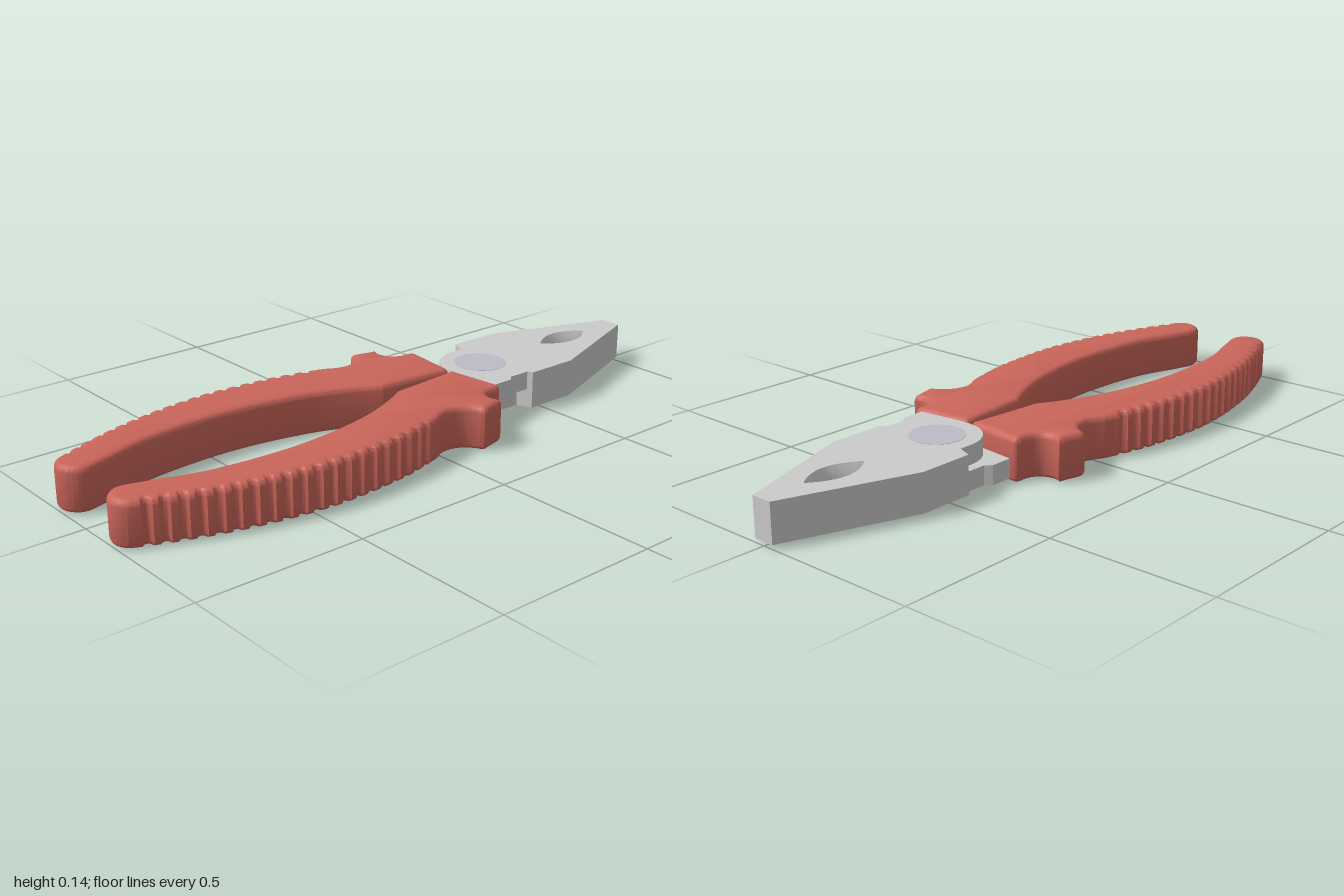
import * as THREE from 'three';
import { toCreasedNormals } from 'three/addons/utils/BufferGeometryUtils.js';

// Plan coordinates (x, z) are drawn as shapes in (x, -z) and raised along y.
const P = (x, z) => new THREE.Vector2(x, -z);

const steel = new THREE.MeshStandardMaterial({ color: 0xcccccc });
const wallSteel = new THREE.MeshStandardMaterial({ color: 0xcccccc, side: THREE.DoubleSide });
const rivetSteel = new THREE.MeshStandardMaterial({ color: 0xbcbcc8 });
const grip = new THREE.MeshStandardMaterial({ color: 0xc9655a });

const BASE = 0.012, MID = 0.07, TOP = 0.127; // heights of the steel layers
const PIVOT_Z = -0.39;

function named(name, geometry, material) {
  const mesh = new THREE.Mesh(geometry, material);
  mesh.name = name;
  return mesh;
}

// Flat plate between two heights
function plate(points, y0, y1) {
  const geo = new THREE.ExtrudeGeometry(new THREE.Shape(points), { depth: y1 - y0, bevelEnabled: false });
  return geo.rotateX(-Math.PI / 2).translate(0, y0, 0);
}

// Stacks copies of a closed outline, each [y, inset], with optional end caps.
// notch(x, z, i) cuts extra depth into the outline.
function stack(outline, layers, { notch = () => 0, caps = true, blur = 6 } = {}) {
  let pts = outline.map((p, i) => ({ p, cut: notch(p.x, -p.y, i) }));
  if (THREE.ShapeUtils.area(outline) < 0) pts.reverse();
  const n = pts.length;
  const normals = pts.map((_, i) => {
    const t = pts[(i + blur) % n].p.clone().sub(pts[(i - blur + n) % n].p).normalize();
    return new THREE.Vector2(t.y, -t.x);
  });
  const ring = inset => pts.map(({ p, cut }, i) => p.clone().addScaledVector(normals[i], -(cut + inset)));
  const pos = [], idx = [];
  layers.forEach(([y, inset]) => ring(inset).forEach(q => pos.push(q.x, y, -q.y)));
  for (let k = 0; k < layers.length - 1; k++) {
    for (let i = 0; i < n; i++) {
      const j = (i + 1) % n, a = k * n, b = a + n;
      idx.push(a + i, a + j, b + j, a + i, b + j, b + i);
    }
  }
  if (caps) {
    const last = (layers.length - 1) * n;
    for (const [a, b, c] of THREE.ShapeUtils.triangulateShape(ring(layers[layers.length - 1][1]), []))
      idx.push(last + a, last + b, last + c);
    for (const [a, b, c] of THREE.ShapeUtils.triangulateShape(ring(layers[0][1]), []))
      idx.push(a, c, b);
  }
  const geo = new THREE.BufferGeometry();
  geo.setAttribute('position', new THREE.Float32BufferAttribute(pos, 3));
  geo.setIndex(idx);
  return toCreasedNormals(geo, 0.6);
}

// Handle: thumb guard, ribbed outer curve, rounded tip, smooth inner curve
function handleGeometry(side) {
  const path = new THREE.Path();
  const line = (x, z) => path.lineTo(x, -z);
  const bend = (cx, cz, x, z) => path.quadraticCurveTo(cx, -cz, x, -z);
  path.moveTo(0.006, -(-0.255));
  bend(0.006, -0.266, 0.025, -0.268);
  line(0.175, -0.285);
  bend(0.2, -0.288, 0.2, -0.262);
  bend(0.196, -0.2, 0.25, -0.198);
  bend(0.265, -0.199, 0.278, -0.205);
  bend(0.286, -0.2, 0.288, -0.185);
  line(0.302, -0.13);
  bend(0.304, -0.117, 0.292, -0.112);
  bend(0.24, -0.09, 0.24, -0.035);
  bend(0.242, -0.01, 0.262, 0.02);
  path.splineThru([
    P(0.282, 0.085), P(0.307, 0.2), P(0.322, 0.4), P(0.309, 0.56),
    P(0.276, 0.72), P(0.234, 0.85), P(0.193, 0.95), P(0.172, 0.985), P(0.135, 1.0),
    P(0.095, 0.985), P(0.074, 0.945), P(0.092, 0.87), P(0.137, 0.72), P(0.156, 0.52),
    P(0.148, 0.35), P(0.115, 0.18), P(0.07, 0.06), P(0.028, -0.02),
  ]);
  line(0.006, -0.255);

  const count = 1000, step = path.getLength() / count, pitch = 0.046, half = 0.013;
  const outline = path.getSpacedPoints(count).slice(0, count).map(p => new THREE.Vector2(p.x * side, p.y));
  const notch = (x, z, i) => {
    const centre = 0.235 - 0.45 * (z - 0.45) ** 2;
    if (z < 0.05 || z > 0.955 || Math.abs(x) < centre) return 0;
    const u = ((i * step) % pitch - pitch / 2) / half;
    return 0.013 * Math.sqrt(Math.max(0, 1 - u * u));
  };
  // Rounded rims at the bottom and the top
  const r = 0.02, height = 0.135, layers = [];
  for (let k = 0; k <= 5; k++) {
    const a = (k / 5) * Math.PI / 2;
    layers.push([r - r * Math.cos(a), r - r * Math.sin(a)]);
  }
  layers.push(...layers.map(([y, inset]) => [height - y, inset]).reverse());
  return stack(outline, layers, { notch });
}

// Half of the lens-shaped opening between the jaws, from back to front
function lensSide(side, steps) {
  return Array.from({ length: steps + 1 }, (_, i) => {
    const t = i / steps;
    return P(side * 0.045 * Math.sin(Math.PI * t) ** 0.85, -0.865 + 0.205 * t);
  });
}

function jawGeometry(side) {
  return plate([
    P(0, -1), P(side * 0.033, -1), P(side * 0.172, -0.615), P(side * 0.172, -0.447),
    P(side * 0.125, -0.428), P(0, -0.428), ...lensSide(side, 24).reverse(),
  ], BASE, TOP);
}

// Lap-joint half: round around the pivot on one side, notched arm on the other
function armGeometry(side, y0, y1) {
  const pts = [
    P(0, -0.45), P(side * 0.155, -0.45), P(side * 0.155, -0.37), P(side * 0.172, -0.352),
    P(side * 0.172, -0.2), P(side * 0.03, -0.2), P(side * 0.02, -0.266),
  ];
  for (let i = 0; i <= 24; i++) {
    const a = (i / 24) * Math.PI / 2;
    pts.push(P(-side * 0.125 * Math.sin(a), PIVOT_Z + 0.125 * Math.cos(a)));
  }
  pts.push(P(-side * 0.125, -0.44));
  return toCreasedNormals(plate(pts, y0, y1), 0.4);
}

export function createModel() {
  const pliers = new THREE.Group();
  pliers.name = 'pliers';

  for (const [side, label] of [[1, 'left'], [-1, 'right']]) {
    pliers.add(named(label + 'Handle', handleGeometry(side), grip));
    pliers.add(named(label + 'Jaw', toCreasedNormals(jawGeometry(side), 0.35), steel));
  }
  pliers.add(named('upperArm', armGeometry(1, MID, TOP), steel));
  pliers.add(named('lowerArm', armGeometry(-1, BASE, MID), steel));

  // Opening wall, pinched at mid height
  const lens = [...lensSide(1, 24), ...lensSide(-1, 24).reverse().slice(1, -1)];
  const wallLayers = Array.from({ length: 9 }, (_, k) => {
    const t = k / 8;
    return [BASE + (TOP - BASE) * t, 0.018 * Math.sin(Math.PI * t)];
  });
  pliers.add(named('pipeGripWall', stack(lens, wallLayers, { caps: false, blur: 2 }), wallSteel));

  // Pivot rivet, almost flush with both faces
  const rivet = named('pivotRivet', new THREE.CylinderGeometry(0.08, 0.08, TOP - BASE + 0.002, 48), rivetSteel);
  rivet.position.set(0, (BASE + TOP) / 2, PIVOT_Z);
  pliers.add(rivet);

  return pliers;
}
